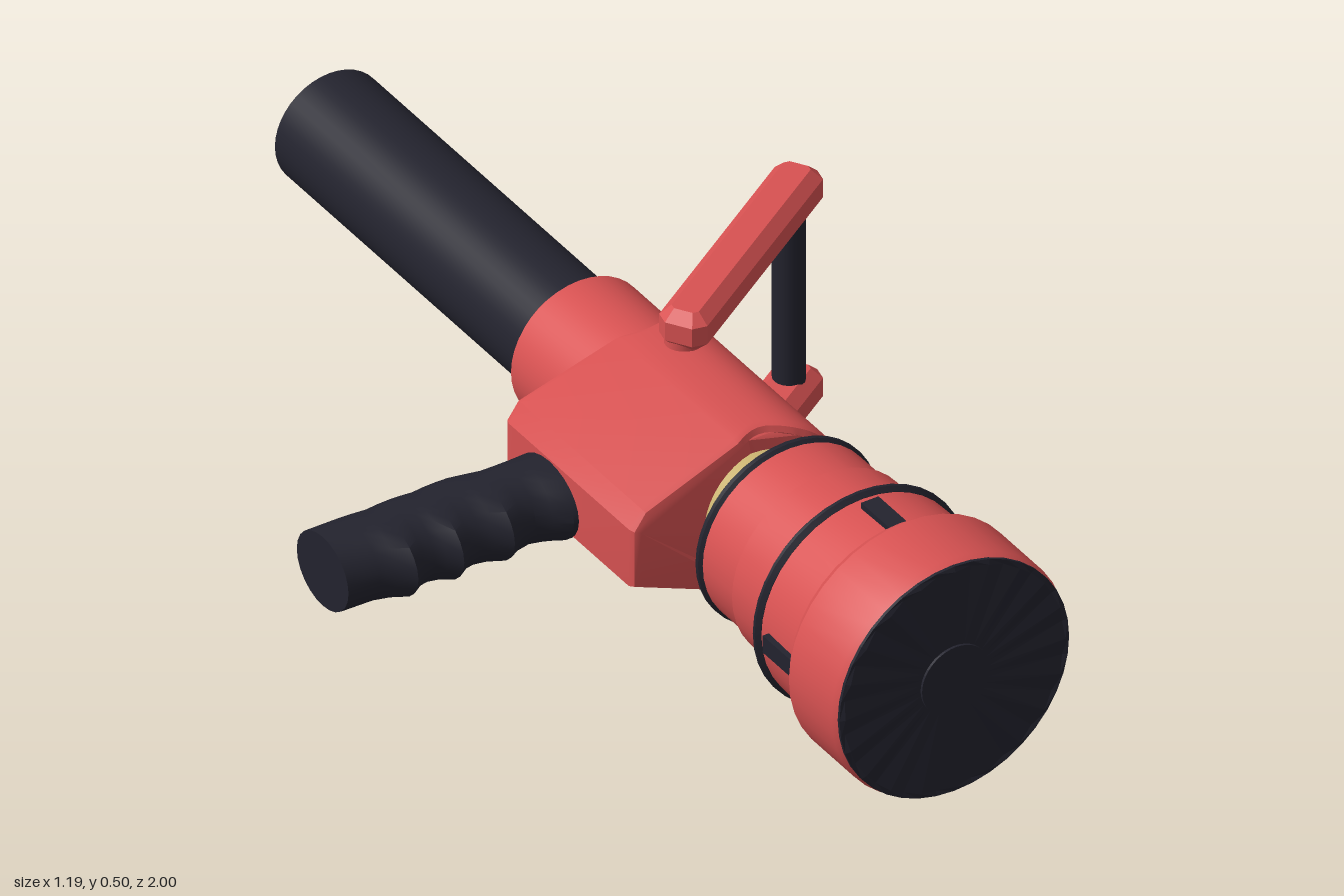
import * as THREE from 'three';
import { toCreasedNormals } from 'three/addons/utils/BufferGeometryUtils.js';

const AX = 0.125, AY = 0.257; // main axis of the nozzle, running along z
const mat = (name, color) => {
  const m = new THREE.MeshStandardMaterial({ color });
  m.name = name;
  return m;
};

export function createModel() {
  const red = mat('red paint', 0xd85252);
  const black = mat('black rubber', 0x23232e);
  const brass = mat('brass', 0xc9b26f);
  const model = new THREE.Group();

  const add = (name, geo, material, x = 0, y = 0, z = 0, parent = model) => {
    const mesh = new THREE.Mesh(geo, material);
    mesh.name = name;
    mesh.position.set(x, y, z);
    parent.add(mesh);
    return mesh;
  };
  // Turned part on the main axis from [radius, z] pairs
  const turned = (name, profile, material, sides = 40) => {
    const geo = new THREE.LatheGeometry(profile.map(([r, z]) => new THREE.Vector2(r, z)), sides);
    geo.rotateX(Math.PI / 2);
    return add(name, toCreasedNormals(geo, 0.45), material, AX, AY, 0);
  };
  // Closed, slightly chamfered ring profile
  const drum = (r, z0, z1, c = 0.008) =>
    [[0, z0], [r - c, z0], [r, z0 + c], [r, z1 - c], [r - c, z1], [0, z1]];

  // Hose, collar and brass neck
  turned('hose', drum(0.113, -1, -0.15, 0.001), black);
  turned('rearCollar', drum(0.141, -0.215, 0.02, 0.012), red);
  turned('neck', drum(0.122, 0.36, 0.48, 0.001), brass);

  // Nozzle head
  turned('rearRing', drum(0.187, 0.448, 0.472), black);
  turned('headBarrel', [[0, 0.465], [0.181, 0.465], [0.181, 0.577], [0.19, 0.577], [0.19, 0.69], [0, 0.69]], red);
  turned('middleRing', drum(0.219, 0.68, 0.702), black);
  turned('headSleeve', [[0, 0.695], [0.21, 0.695], [0.214, 0.83], [0, 0.83]], red);
  turned('bumper', [[0, 0.82], [0.228, 0.82], [0.243, 0.84], [0.243, 0.975], [0.238, 0.988], [0, 0.988]], red);
  for (let i = 0; i < 4; i++) {
    const a = i * Math.PI / 2;
    const tab = add('sleeveTab', new THREE.BoxGeometry(0.03, 0.036, 0.097), black,
      AX + Math.cos(a) * 0.207, AY + Math.sin(a) * 0.207, 0.773);
    tab.rotation.z = a;
  }

  // Front face: shallow radial pleats around a flat hub
  const faceProfile = [[0.238, 0.983], [0.238, 0.994], [0.228, 0.998], [0.07, 0.994], [0.07, 0.999], [0, 0.999]];
  const faceGeo = new THREE.LatheGeometry(faceProfile.map(([r, z]) => new THREE.Vector2(r, z)), 40);
  const fp = faceGeo.attributes.position;
  for (let i = 0; i < fp.count; i++) {
    const column = Math.floor(i / faceProfile.length), row = i % faceProfile.length;
    if (row === 2 && column % 2) fp.setY(i, 0.991);
  }
  faceGeo.rotateX(Math.PI / 2);
  add('frontFace', toCreasedNormals(faceGeo, 0.1), black, AX, AY, 0);

  // Valve body: round on one side, tapering to the grip on the other
  const bevel = 0.016, tangent = 1.885;
  const section = new THREE.Shape();
  section.moveTo(-0.25, -0.095);
  section.absarc(0, 0, 0.168, -tangent, tangent, false);
  section.lineTo(-0.25, 0.095);
  section.lineTo(-0.275, 0.06);
  section.lineTo(-0.275, -0.06);
  section.closePath();
  const bodyGeo = new THREE.ExtrudeGeometry(section, {
    depth: 0.415 - 2 * bevel, bevelEnabled: true, bevelThickness: bevel,
    bevelSize: bevel, bevelOffset: -bevel, bevelSegments: 2, curveSegments: 24,
  });
  bodyGeo.translate(0, 0, -0.02 + bevel);
  // Scoop the crown of both end rims
  const bp = bodyGeo.attributes.position;
  for (let i = 0; i < bp.count; i++) {
    if (Math.abs(bp.getY(i)) < 0.125) continue;
    const scoop = 0.025 * Math.exp(-((bp.getX(i) / 0.055) ** 2));
    bp.setZ(i, bp.getZ(i) + (bp.getZ(i) < 0.19 ? scoop : -scoop));
  }
  bodyGeo.deleteAttribute('uv');
  add('valveBody', toCreasedNormals(bodyGeo, 0.5), red, AX, AY, 0);

  // Side grip: stations of [x, back z, front z] with finger grooves
  const stations = [
    [-0.605, 0.02, 0.185], [-0.54, 0.02, 0.187], [-0.51, 0.02, 0.197], [-0.48, 0.02, 0.216],
    [-0.455, 0.02, 0.198], [-0.43, 0.02, 0.192], [-0.41, 0.02, 0.198], [-0.385, 0.02, 0.216],
    [-0.36, 0.02, 0.198], [-0.335, 0.02, 0.192], [-0.31, 0.02, 0.198], [-0.28, 0.024, 0.216],
    [-0.25, 0.035, 0.198], [-0.22, 0.037, 0.19], [-0.19, 0.035, 0.2], [-0.16, 0.03, 0.22], [-0.12, 0.03, 0.22],
  ];
  const N = 24, verts = [], faces = [], last = stations.length - 1;
  stations.forEach(([x, back, front], s) => {
    for (let k = 0; k < N; k++) {
      const a = k / N * Math.PI * 2;
      verts.push(x, 0.24 + 0.073 * Math.sin(a), (back + front) / 2 + (front - back) / 2 * Math.cos(a));
      if (s === last) continue;
      const p = s * N + k, q = s * N + (k + 1) % N;
      faces.push(p, p + N, q, q, p + N, q + N);
    }
  });
  for (let k = 1; k < N - 1; k++) {
    faces.push(0, k, k + 1, last * N, last * N + k + 1, last * N + k);
  }
  // Reverse the winding so that every face points outward
  for (let i = 0; i < faces.length; i += 3) {
    const [p, q, r] = faces.slice(i, i + 3).map((v) => new THREE.Vector3().fromArray(verts, v * 3));
    const n = q.clone().sub(p).cross(r.clone().sub(p));
    const c = p.clone().add(q).add(r).divideScalar(3);
    const isCap = Math.abs(n.x) > 0.999 * n.length();
    const out = isCap ? new THREE.Vector3(c.x + 0.36, 0, 0) : new THREE.Vector3(0, c.y - 0.24, c.z - 0.11);
    if (n.dot(out) < 0) [faces[i + 1], faces[i + 2]] = [faces[i + 2], faces[i + 1]];
  }
  const gripGeo = new THREE.BufferGeometry();
  gripGeo.setAttribute('position', new THREE.Float32BufferAttribute(verts, 3));
  gripGeo.setIndex(faces);
  add('grip', toCreasedNormals(gripGeo, 0.6), black);

  // Bail handle: two chamfered arms joined by a bar
  const L = 0.528, W = 0.092, H = 0.078, c = 0.02;
  const armShape = new THREE.Shape();
  const hx = L / 2 - c, hy = W / 2 - c;
  [[-hx - c, -hy], [-hx, -hy - c], [hx, -hy - c], [hx + c, -hy], [hx + c, hy], [hx, hy + c], [-hx, hy + c], [-hx - c, hy]]
    .forEach(([x, y], i) => (i ? armShape.lineTo(x, y) : armShape.moveTo(x, y)));
  const armGeo = new THREE.ExtrudeGeometry(armShape, {
    depth: H - 2 * c, bevelEnabled: true, bevelThickness: c, bevelSize: c, bevelOffset: -c, bevelSegments: 1,
  });
  armGeo.translate(0, 0, -H / 2 + c);
  armGeo.rotateX(-Math.PI / 2);
  const bail = new THREE.Group();
  bail.name = 'bailHandle';
  model.add(bail);
  for (const side of [-1, 1]) {
    const arm = add('bailArm', armGeo, red, 0.35, 0.255 + side * 0.211, -0.032, bail);
    arm.rotation.y = Math.atan2(0.285, 0.445);
    add('bailPivot', new THREE.CylinderGeometry(0.032, 0.032, 0.08, 20), red, 0.155, 0.255 + side * 0.15, 0.08, bail);
  }
  add('bailBar', new THREE.CylinderGeometry(0.03, 0.03, 0.37, 20), black, 0.518, 0.255, -0.138, bail);

  return model;
}
